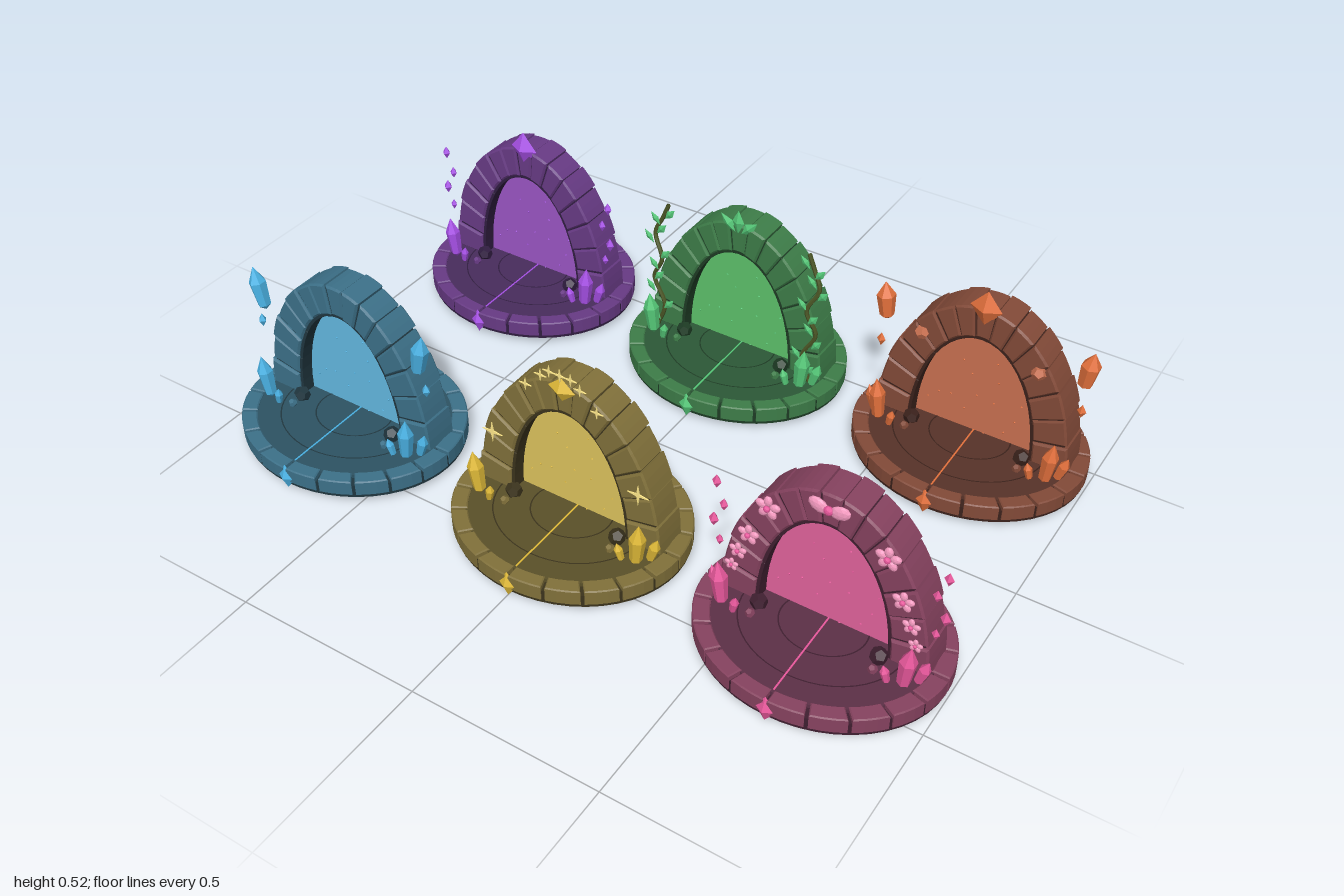
import * as THREE from 'three';

const RX = 0.308, RZ = 0.267, FLOOR = 0.062;
const mat = (color) => new THREE.MeshStandardMaterial({ color, flatShading: true, side: THREE.DoubleSide });

function add(parent, name, geo, material, pos = [0, 0, 0], rot = [0, 0, 0], scale = [1, 1, 1]) {
  const m = new THREE.Mesh(geo, material);
  m.name = name;
  m.position.set(...pos);
  m.rotation.set(...rot);
  m.scale.set(...scale);
  parent.add(m);
  return m;
}

// Wedge-shaped stone between two ellipses, from angle a0 to a1
function wedge(a0, a1, inner, outer, depth, bevel = 0.003) {
  const pts = [], n = 3;
  for (let i = 0; i <= n; i++) {
    const a = a0 + (a1 - a0) * i / n;
    pts.push(new THREE.Vector2(outer[0] * Math.cos(a), outer[1] * Math.sin(a)));
  }
  for (let i = n; i >= 0; i--) {
    const a = a0 + (a1 - a0) * i / n;
    pts.push(new THREE.Vector2(inner[0] * Math.cos(a), inner[1] * Math.sin(a)));
  }
  return new THREE.ExtrudeGeometry(new THREE.Shape(pts), {
    depth: depth - 2 * bevel, bevelEnabled: true, bevelThickness: bevel, bevelSize: bevel,
    bevelOffset: -bevel, bevelSegments: 1,
  }).translate(0, 0, bevel);
}

// Six-sided pointed crystal standing on its lower tip
function crystal(h, r) {
  const p = [[0, 0], [r * 0.75, h * 0.12], [r, h * 0.65], [0, h]].map(([x, y]) => new THREE.Vector2(x, y));
  return new THREE.LatheGeometry(p, 6);
}

// Thin four-pointed sparkle
function star(r) {
  const s = new THREE.Shape();
  for (let i = 0; i < 8; i++) {
    const d = i % 2 ? r * 0.2 : r, a = i * Math.PI / 4;
    s[i ? 'lineTo' : 'moveTo'](d * Math.cos(a), d * Math.sin(a));
  }
  return new THREE.ExtrudeGeometry(s, { depth: 0.003, bevelEnabled: false });
}

const gem = new THREE.OctahedronGeometry(1);
const ball = new THREE.IcosahedronGeometry(1, 1);

function flower(parent, x, y, r, m, heart) {
  const f = new THREE.Group();
  f.name = 'flower';
  f.position.set(x, y, 0.024);
  for (let i = 0; i < 5; i++) {
    const a = i * Math.PI * 0.4 + Math.PI / 2;
    add(f, 'petal', ball, m, [r * 0.65 * Math.cos(a), r * 0.65 * Math.sin(a), 0], [0, 0, a], [r * 0.5, r * 0.38, r * 0.25]);
  }
  add(f, 'flowerHeart', ball, heart, [0, 0, r * 0.2], [0, 0, 0], [r * 0.3, r * 0.3, r * 0.25]);
  parent.add(f);
}

function base(g, c) {
  add(g, 'baseSlab', new THREE.CylinderGeometry(1, 1, 0.036, 48), c.dark, [0, 0.034, 0], [0, 0, 0], [RX - 0.003, 1, RZ - 0.003]);
  add(g, 'floor', new THREE.CylinderGeometry(1, 1, 0.016, 48), c.floor, [0, FLOOR - 0.008, 0], [0, 0, 0], [RX * 0.88, 1, RZ * 0.88]);
  const n = 20;
  for (let i = 0; i < n; i++) {
    const a = i * Math.PI * 2 / n;
    add(g, 'rimStone', wedge(a + 0.015, a + Math.PI * 2 / n - 0.015, [RX * 0.86, RZ * 0.86], [RX, RZ], 0.044), c.stone, [0, 0.023, 0], [-Math.PI / 2, 0, 0]);
  }
  // Inlaid floor rings and centre line
  for (const k of [0.35, 0.66]) {
    add(g, 'floorRing', new THREE.RingGeometry(k - 0.012, k, 48), c.dark, [0, FLOOR + 0.0008, 0], [-Math.PI / 2, 0, 0], [RX, RZ, 1]);
  }
  add(g, 'floorLine', new THREE.BoxGeometry(0.004, 0.002, RZ * 1.7), c.glow, [0, FLOOR + 0.0005, 0]);
  add(g, 'frontGem', gem, c.glow, [0, 0.037, RZ - 0.004], [0, 0, 0], [0.027, 0.037, 0.015]);
}

function arch(g, c) {
  const n = 15, step = Math.PI / n;
  for (let i = 0; i < n; i++) {
    const k = i % 2 ? 0.003 : 0;
    add(g, 'archStone', wedge(i * step + 0.006, (i + 1) * step - 0.006, [0.172, 0.318], [0.264 - k, 0.406 - k], 0.1 - 2 * k, 0.005), c.stone, [0, FLOOR, -0.081 + k]);
  }
  // Dark lining holding the stones together
  for (let i = 0; i < 8; i++) {
    add(g, 'archLining', wedge(i * Math.PI / 8, (i + 1) * Math.PI / 8, [0.164, 0.31], [0.255, 0.396], 0.084, 0.0005), c.dark, [0, FLOOR, -0.073]);
  }
  const s = new THREE.Shape().absellipse(0, 0, 0.168, 0.314, 0, Math.PI);
  add(g, 'portalPanel', new THREE.ExtrudeGeometry(s, { depth: 0.01, bevelEnabled: false, curveSegments: 32 }), c.panel, [0, FLOOR, -0.035]);
  // Specks floating on the panel
  for (let i = 0; i < 14; i++) {
    const r = Math.sqrt((i + 0.5) / 14) * 0.85, a = (i * 2.4) % Math.PI;
    add(g, 'speck', gem, c.glow, [0.165 * r * Math.cos(a), FLOOR + 0.31 * r * Math.sin(a), -0.024], [0, 0, 0], [0.003, 0.003, 0.002]);
  }
}

// Crystals and pebbles at the feet of the arch
function feet(g, c) {
  for (const s of [-1, 1]) {
    add(g, 'tallCrystal', crystal(0.13, 0.021), c.glow, [s * 0.228, 0.06, 0.066], [0.03, 0, -s * 0.1]);
    add(g, 'smallCrystal', crystal(0.08, 0.014), c.glow, [s * 0.25, 0.06, 0.04], [0, 0, -s * 0.3]);
    add(g, 'smallCrystal', crystal(0.055, 0.011), c.glow, [s * 0.195, 0.06, 0.075], [0.1, 0, s * 0.2]);
    add(g, 'pebble', new THREE.DodecahedronGeometry(0.022), c.dark, [s * 0.152, 0.078, 0.03], [0.3, s, 0]);
    add(g, 'pebble', new THREE.DodecahedronGeometry(0.012), c.stone, [s * 0.155, 0.07, 0.065]);
  }
}

const decor = {
  ice(g, c) {
    for (const s of [-1, 1]) {
      add(g, 'floatingCrystal', crystal(0.125, 0.023), c.glow, [s * 0.25, 0.305, 0.015], [0, 0, -s * 0.2]);
      add(g, 'floatingShard', gem, c.glow, [s * 0.272, 0.262, 0.015], [0, 0, 0], [0.012, 0.02, 0.012]);
    }
  },
  gold(g, c) {
    add(g, 'crownGem', gem, c.glow, [0, 0.452, 0.02], [0, 0, 0], [0.038, 0.033, 0.018]);
    for (const s of [-1, 1]) {
      add(g, 'sparkle', star(0.03), c.light, [s * 0.21, 0.235, 0.024]);
      [[0.03, 0.495], [0.055, 0.475], [0.1, 0.43]].forEach(([x, y]) => add(g, 'sparkle', star(0.018), c.light, [s * x, y, 0.024]));
    }
    add(g, 'sparkle', star(0.02), c.light, [0, 0.495, 0.024]);
  },
  bloom(g, c) {
    for (const s of [-1, 1]) {
      [[0.215, 0.2, 0.02], [0.19, 0.262, 0.024], [0.145, 0.365, 0.028], [0.23, 0.15, 0.016]].forEach(
        ([x, y, r]) => flower(g, s * x, y, r, c.light, c.glow));
      add(g, 'crownPetal', ball, c.light, [s * 0.026, 0.432, 0.022], [0, 0, s * 0.4], [0.026, 0.018, 0.009]);
    }
    add(g, 'crownHeart', ball, c.glow, [0, 0.43, 0.026], [0, 0, 0], [0.012, 0.012, 0.009]);
    floatingBits(g, c);
  },
  arcane(g, c) {
    add(g, 'crownGem', gem, c.glow, [0, 0.47, 0.012], [0, 0, 0], [0.042, 0.05, 0.022]);
    floatingBits(g, c);
  },
  forest(g, c) {
    const vine = mat(0x4b5626);
    const path = [[0.24, 0.06, 0.03], [0.215, 0.14, 0.032], [0.25, 0.22, 0.03], [0.222, 0.29, 0.036], [0.25, 0.36, 0.025], [0.23, 0.41, 0.02], [0.212, 0.455, 0.02]];
    for (const s of [-1, 1]) {
      const curve = new THREE.CatmullRomCurve3(path.map(([x, y, z]) => new THREE.Vector3(s * x, y, z)));
      add(g, 'vine', new THREE.TubeGeometry(curve, 36, 0.006, 6), vine);
      for (let i = 1; i < 11; i++) {
        const p = curve.getPoint(i / 11), d = i % 2 ? 1 : -1;
        add(g, 'leaf', gem, c.glow, [p.x + d * s * 0.017, p.y, p.z + 0.006], [0, 0, -d * s * 0.7], [0.011, 0.023, 0.005]);
      }
      add(g, 'crownLeaf', gem, c.glow, [s * 0.03, 0.462, 0.015], [0, 0, -s * 0.8], [0.016, 0.034, 0.008]);
    }
    add(g, 'crownLeaf', gem, c.glow, [0, 0.475, 0.018], [0, 0, 0], [0.018, 0.035, 0.01]);
  },
  ember(g, c) {
    add(g, 'crownCrystal', gem, c.glow, [0, 0.47, 0.015], [0, 0, 0], [0.042, 0.05, 0.022]);
    for (const s of [-1, 1]) {
      add(g, 'floatingCrystal', crystal(0.11, 0.025), c.glow, [s * 0.262, 0.325, -0.005], [0, 0, -s * 0.12]);
      add(g, 'floatingShard', gem, c.glow, [s * 0.27, 0.26, 0], [0, 0, 0], [0.012, 0.02, 0.012]);
      add(g, 'emberStone', new THREE.DodecahedronGeometry(0.02), c.panel, [s * 0.155, 0.34, 0.016], [0, 0, s]);
    }
  },
};

function floatingBits(g, c) {
  for (const s of [-1, 1]) {
    [[0.268, 0.2, 0.01], [0.285, 0.255, 0.013], [0.26, 0.31, 0.011], [0.28, 0.37, 0.012]].forEach(
      ([x, y, r]) => add(g, 'floatingBit', gem, c.glow, [s * x, y, 0.015], [0, 0, 0], [r, r * 1.6, r]));
  }
}

// Gate name, x, z, then colours: stone, floor, dark, panel, glow, light
const gates = [
  ['ice', -0.692, 0.385, 0x3c7088, 0x2d5262, 0x20363f, 0x62b7df, 0x4ab2e4, 0xbfeaff],
  ['gold', 0, 0.385, 0x80703a, 0x5a5029, 0x3b331c, 0xdcc25c, 0xe0ba38, 0xffe88a],
  ['bloom', 0.692, 0.385, 0x86425f, 0x5c3047, 0x3f1f30, 0xe0629c, 0xe8589c, 0xf59ac0],
  ['arcane', -0.692, -0.4, 0x673a84, 0x482c5c, 0x301d40, 0x9a55c4, 0xa850e8, 0xd8a8ff],
  ['forest', 0, -0.4, 0x3d7c48, 0x2c5836, 0x1d3b24, 0x5cc06a, 0x55c878, 0xa8f0b0],
  ['ember', 0.692, -0.4, 0x824a38, 0x573228, 0x3a211b, 0xc87050, 0xe2703c, 0xffb080],
];

export function createModel() {
  const model = new THREE.Group();
  model.name = 'portalGates';
  for (const [kind, x, z, ...cols] of gates) {
    const [stone, floor, dark, panel, glow, light] = cols.map(mat);
    const c = { stone, floor, dark, panel, glow, light };
    const g = new THREE.Group();
    g.name = kind + 'Gate';
    g.position.set(x, 0, z);
    base(g, c);
    arch(g, c);
    feet(g, c);
    decor[kind](g, c);
    model.add(g);
  }
  return model;
}
